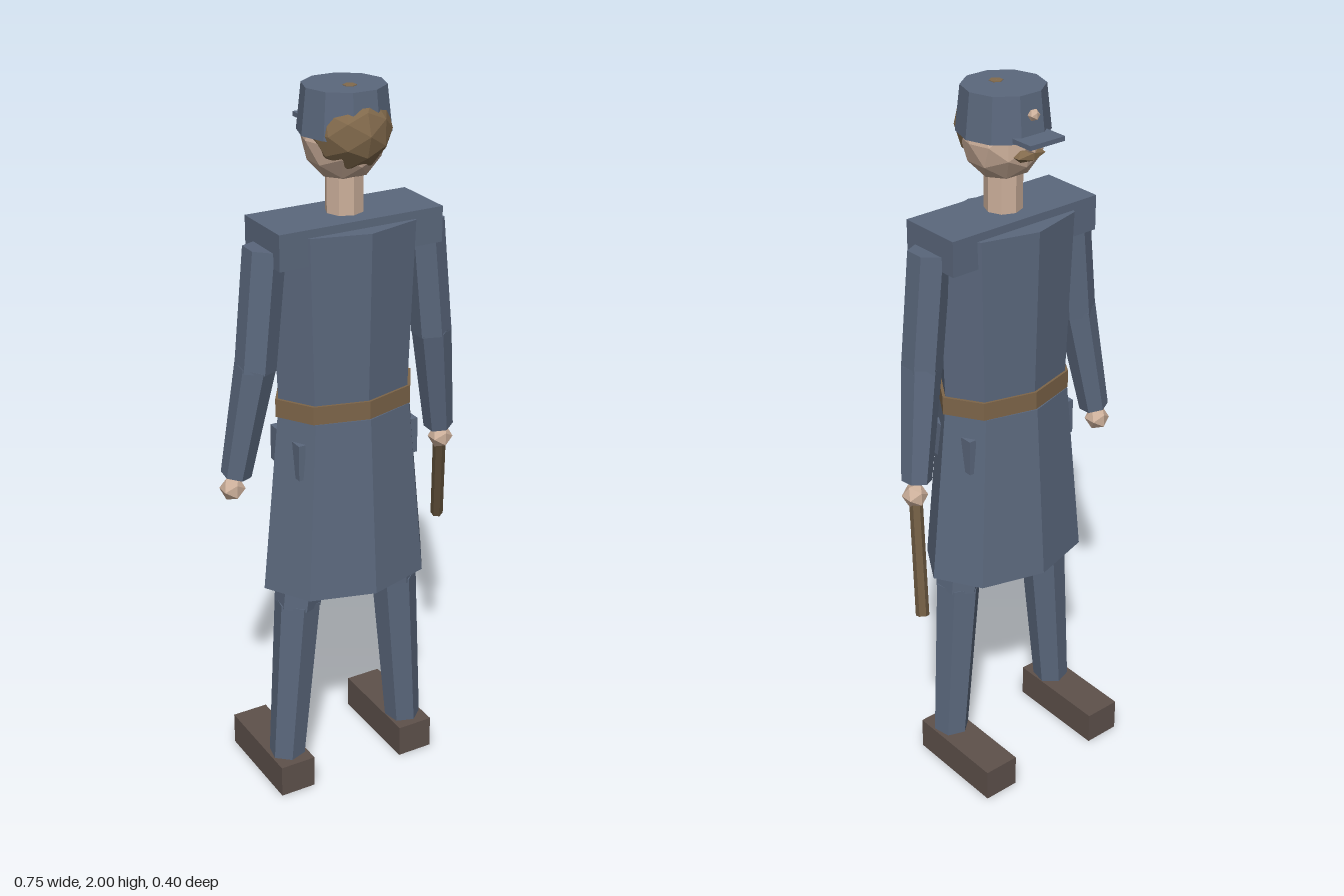
import * as THREE from 'three';

const mat = (name, color) => {
  const m = new THREE.MeshStandardMaterial({ color, flatShading: true });
  m.name = name;
  return m;
};

export function createModel() {
  const cloth = mat('blue cloth', 0x5b687d);
  const skin = mat('skin', 0xcdb09b);
  const leather = mat('belt leather', 0x7d6549);
  const hairBrown = mat('hair brown', 0x826a4c);
  const shoe = mat('shoe brown', 0x5e514b);
  const wood = mat('wood', 0x6b5840);

  // The body axis sits slightly off the origin; parts are placed relative to it
  const model = new THREE.Group();
  const body = new THREE.Group();
  body.name = 'figure';
  body.position.set(-0.023, 0, 0.024);
  model.add(body);

  const add = (name, geo, material, x = 0, y = 0, z = 0) => {
    const mesh = new THREE.Mesh(geo, material);
    mesh.name = name;
    mesh.position.set(x, y, z);
    body.add(mesh);
    return mesh;
  };
  const box = (name, material, w, h, d, x, y, z) =>
    add(name, new THREE.BoxGeometry(w, h, d), material, x, y, z);
  // Oval ring between two heights
  const ring = (name, material, y0, y1, r0, r1, depth, sides = 8) => {
    const geo = new THREE.CylinderGeometry(r1, r0, y1 - y0, sides);
    return add(name, geo.scale(1, 1, depth), material, 0, (y0 + y1) / 2, 0);
  };
  // Tapered rod from point a to point b
  const rod = (name, material, a, b, ra, rb, sides = 6) => {
    const p = new THREE.Vector3(...a), q = new THREE.Vector3(...b);
    const dir = q.clone().sub(p);
    const mesh = add(name, new THREE.CylinderGeometry(rb, ra, dir.length(), sides), material);
    mesh.position.copy(p).add(q).multiplyScalar(0.5);
    mesh.quaternion.setFromUnitVectors(new THREE.Vector3(0, 1, 0), dir.normalize());
    return mesh;
  };
  const blob = (name, material, r, detail, x, y, z, sx = 1, sy = 1, sz = 1) =>
    add(name, new THREE.IcosahedronGeometry(r, detail).scale(sx, sy, sz), material, x, y, z);

  // Coat
  ring('coatBody', cloth, 1.15, 1.655, 0.195, 0.216, 0.655);
  ring('coatSkirt', cloth, 0.647, 1.15, 0.25, 0.2, 0.7);
  ring('belt', leather, 1.15, 1.2, 0.206, 0.206, 0.66);
  box('shoulders', cloth, 0.47, 0.095, 0.185, 0, 1.629, 0.002);

  // Head and cap
  ring('neck', skin, 1.62, 1.8, 0.05, 0.05, 1);
  blob('head', skin, 0.115, 1, 0, 1.87, 0, 0.95, 1, 0.92);
  blob('hair', hairBrown, 0.107, 1, 0, 1.895, 0.026);
  ring('capCrown', cloth, 1.883, 2, 0.12, 0.107, 1, 10).geometry.rotateY(Math.PI / 10);
  box('capPeak', cloth, 0.11, 0.012, 0.1, 0, 1.893, -0.117);
  add('capCrownSpot', new THREE.CylinderGeometry(0.018, 0.018, 0.003, 6), hairBrown, 0, 2, 0.028);
  blob('capBadge', skin, 0.016, 0, 0, 1.95, -0.114);
  blob('nose', skin, 0.018, 0, 0, 1.865, -0.105);
  blob('moustache', hairBrown, 0.03, 0, 0, 1.845, -0.097, 1.7, 0.6, 0.8);

  // Mirrored limbs
  for (const s of [-1, 1]) {
    rod('upperArm', cloth, [s * 0.232, 1.62, 0.008], [s * 0.265, 1.3, 0.008], 0.055, 0.054);
    rod('forearm', cloth, [s * 0.265, 1.31, 0.008], [s * 0.314, 1.0, -0.022], 0.054, 0.041);
    blob('hand', skin, 0.035, 0, s * 0.324, 0.96, -0.026);
    rod('thigh', cloth, [s * 0.1, 1.05, 0.012], [s * 0.155, 0.58, 0.01], 0.08, 0.064);
    rod('shin', cloth, [s * 0.155, 0.59, 0.01], [s * 0.197, 0.045, 0.006], 0.064, 0.05);
    box('shoe', shoe, 0.105, 0.095, 0.303, s * 0.195, 0.0475, -0.075);
    box('pocket', cloth, 0.02, 0.1, 0.16, s * 0.171, 1.04, 0);
  }

  // Stick held in the left hand
  rod('stick', wood, [0.318, 0.97, -0.02], [0.384, 0.655, -0.125], 0.018, 0.018);

  return model;
}
